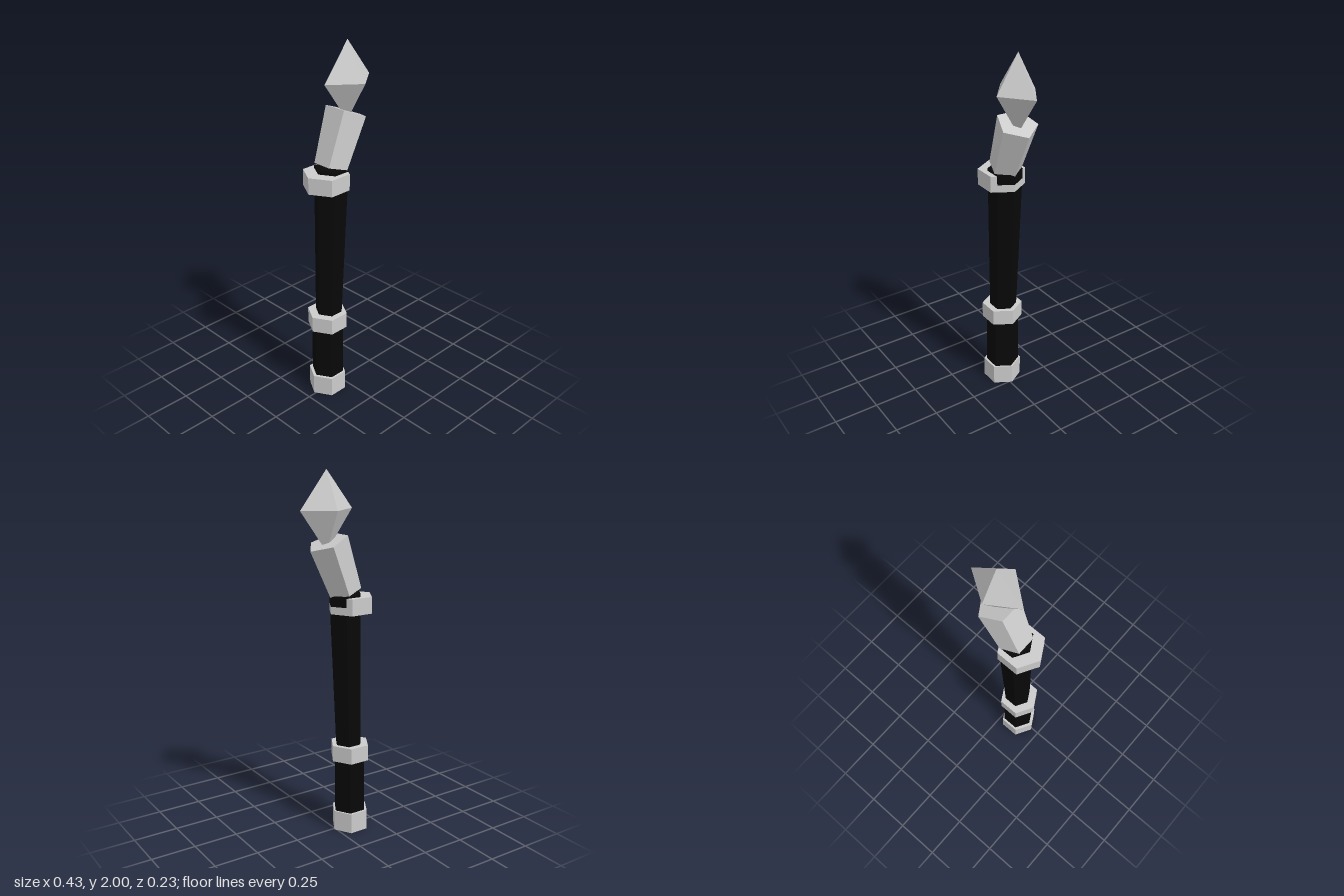
import * as THREE from 'three';

const Z = -0.01; // depth of the staff's axis
const grey = new THREE.MeshStandardMaterial({ color: 0xcccccc, flatShading: true });
const black = new THREE.MeshStandardMaterial({ color: 0x080808, flatShading: true });

// Closed faceted solid through sections { x, y, r, tilt }; tilt leans a section about z
function loft(sides, sections) {
  const pos = [];
  const rings = sections.map(({ x, y, r, tilt = 0 }) =>
    Array.from({ length: sides }, (_, i) => {
      const a = (i / sides) * Math.PI * 2;
      const u = r * Math.cos(a);
      return [x + u * Math.cos(tilt), y + u * Math.sin(tilt), Z + r * Math.sin(a)];
    }));
  const tri = (...points) => points.forEach((p) => pos.push(...p));
  for (let i = 0; i < sides; i++) {
    const j = (i + 1) % sides;
    for (let k = 0; k < rings.length - 1; k++) {
      const lo = rings[k], hi = rings[k + 1];
      tri(lo[i], hi[i], lo[j]);
      tri(hi[i], hi[j], lo[j]);
    }
    const first = sections[0], last = sections[sections.length - 1];
    tri([first.x, first.y, Z], rings[0][i], rings[0][j]);
    const top = rings[rings.length - 1];
    tri([last.x, last.y, Z], top[j], top[i]);
  }
  const geo = new THREE.BufferGeometry();
  geo.setAttribute('position', new THREE.Float32BufferAttribute(pos, 3));
  geo.computeVertexNormals();
  return geo;
}

export function createModel() {
  const group = new THREE.Group();
  const add = (name, geo, mat) => {
    const mesh = new THREE.Mesh(geo, mat);
    mesh.name = name;
    group.add(mesh);
    return mesh;
  };

  // Dark six-sided shaft: straight grip, then a widening upper length
  add('shaft', loft(6, [
    { x: -0.092, y: 0.05, r: 0.092 },
    { x: -0.091, y: 0.44, r: 0.09 },
    { x: -0.083, y: 0.48, r: 0.074 },
    { x: -0.057, y: 1.357, r: 0.092, tilt: -0.06 },
  ]), black);

  // Hexagonal collars
  [
    ['pommel', -0.096, 0, 0.115, 0.106],
    ['gripCollar', -0.093, 0.42, 0.51, 0.112],
    ['upperCollar', -0.093, 1.255, 1.345, 0.125],
  ].forEach(([name, x, y0, y1, r]) =>
    add(name, loft(6, [{ x, y: y0, r }, { x, y: y1, r }]), grey));

  // Leaning five-sided head
  add('bentHead', loft(5, [
    { x: -0.054, y: 1.366, r: 0.091, tilt: -0.284 },
    { x: 0.053, y: 1.636, r: 0.111, tilt: -0.392 },
  ]), grey);

  // Stretched diamond tip, its lower point sunk in the head
  const tip = new THREE.OctahedronGeometry(1);
  const p = tip.attributes.position;
  for (let i = 0; i < p.count; i++) {
    p.setXYZ(i,
      p.getX(i) * 0.157,
      p.getY(i) * (p.getY(i) > 0 ? 0.2 : 0.215),
      p.getZ(i) * (p.getZ(i) > 0 ? 0.125 : 0.103));
  }
  tip.computeVertexNormals();
  add('crystalTip', tip, grey).position.set(0.057, 1.8, Z);

  return group;
}
